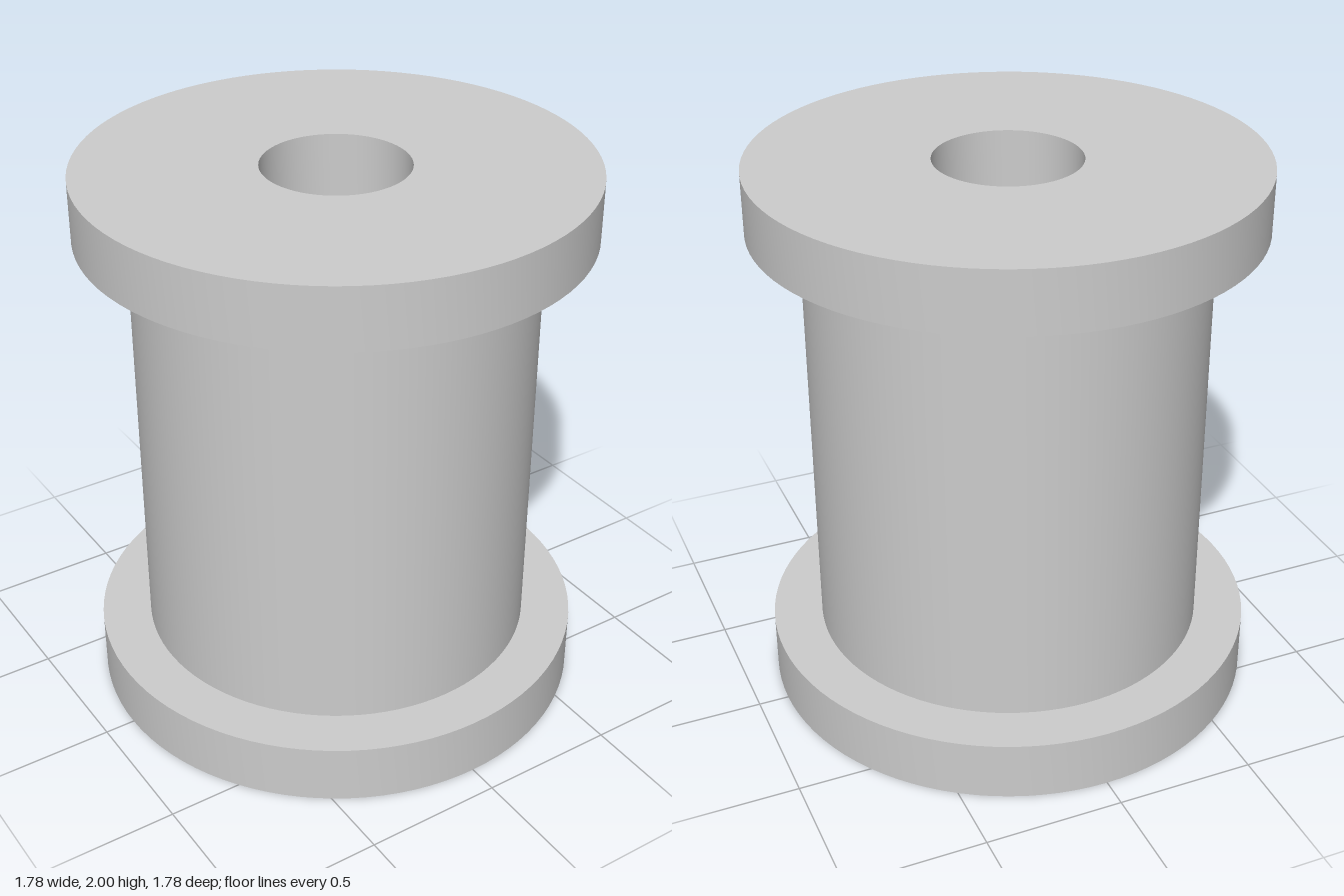
import * as THREE from 'three';
import { toCreasedNormals } from 'three/addons/utils/BufferGeometryUtils.js';

const HEIGHT = 2, FLANGE_H = 0.22;
const FLANGE_R = 0.89, CORE_R = 0.71, BORE_R = 0.258;
const SEGMENTS = 96;

export function createModel() {
  const grey = new THREE.MeshStandardMaterial({ color: 0xcccccc });
  grey.name = 'light grey';

  const spool = new THREE.Group();
  spool.name = 'spool';

  // Revolve a profile, keeping its corners sharp
  function addTurned(name, profile) {
    const points = profile.map(([r, y]) => new THREE.Vector2(r, y));
    const geometry = toCreasedNormals(new THREE.LatheGeometry(points, SEGMENTS), 0.5);
    const mesh = new THREE.Mesh(geometry, grey);
    mesh.name = name;
    spool.add(mesh);
  }

  const low = FLANGE_H, high = HEIGHT - FLANGE_H;

  // Flanges: bore, outer face, rim and the ledge around the core
  addTurned('bottomFlange', [[BORE_R, low], [BORE_R, 0], [FLANGE_R, 0], [FLANGE_R, low], [CORE_R, low]]);
  addTurned('topFlange', [[CORE_R, high], [FLANGE_R, high], [FLANGE_R, HEIGHT], [BORE_R, HEIGHT], [BORE_R, high]]);

  // Core: outer wall and the through hole
  addTurned('coreWall', [[CORE_R, low], [CORE_R, high]]);
  addTurned('coreBore', [[BORE_R, high], [BORE_R, low]]);

  return spool;
}
